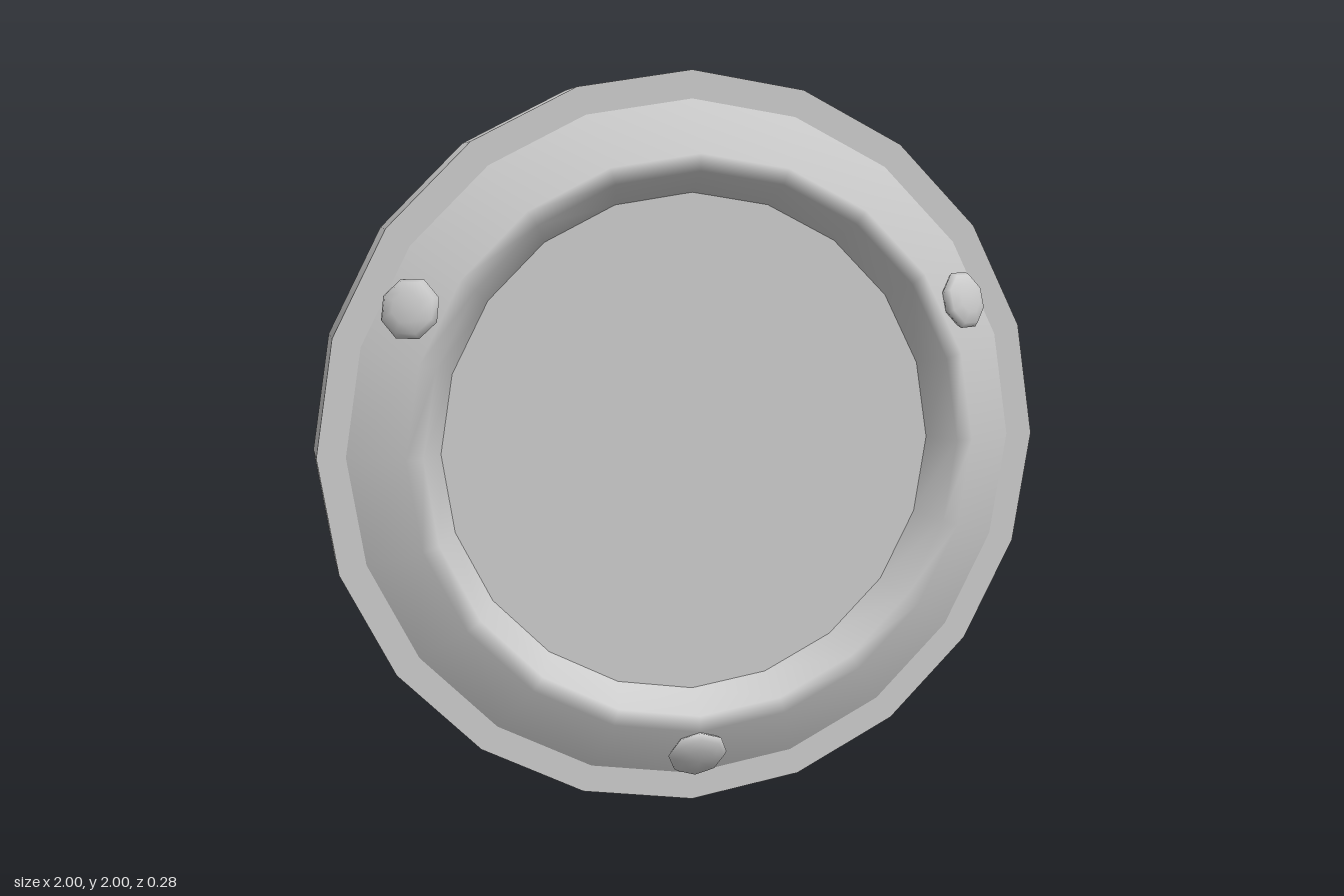
import * as THREE from 'three';

const SIDES = 20;

export function createModel() {
  const model = new THREE.Group();
  const grey = new THREE.MeshStandardMaterial({ color: 0xcccccc });
  grey.name = 'plain grey';

  // Everything is built around the z axis, then lifted to stand on y = 0
  const body = new THREE.Group();
  body.name = 'roundPlate';
  body.position.y = 1;
  model.add(body);

  const add = (name, geometry, parent = body) => {
    const mesh = new THREE.Mesh(geometry, grey);
    mesh.name = name;
    parent.add(mesh);
    return mesh;
  };

  // Base disc
  const disc = new THREE.CylinderGeometry(1, 1, 0.17, SIDES);
  disc.rotateX(Math.PI / 2);
  add('baseDisc', disc).position.z = -0.055;

  // Raised ring with a wide outer slope and a steep inner wall
  const profile = [[0.925, 0.03], [0.78, 0.12], [0.735, 0.12], [0.68, 0.03]]
    .map(([r, h]) => new THREE.Vector2(r, h));
  const ring = new THREE.LatheGeometry(profile, SIDES);
  ring.rotateX(Math.PI / 2);
  add('raisedRing', ring);

  // Three flattened studs lying on the outer slope
  const slope = Math.atan2(0.09, 0.145);
  for (const degrees of [27, 153, 270]) {
    const arm = new THREE.Group();
    arm.name = 'studArm';
    arm.rotation.z = THREE.MathUtils.degToRad(degrees);
    body.add(arm);
    const geometry = new THREE.SphereGeometry(0.083, 8, 6);
    geometry.scale(1, 0.35, 1);
    geometry.rotateX(Math.PI / 2);
    const stud = add('stud', geometry, arm);
    stud.position.set(0.85, 0, 0.09);
    stud.rotation.y = slope;
  }
  return model;
}
